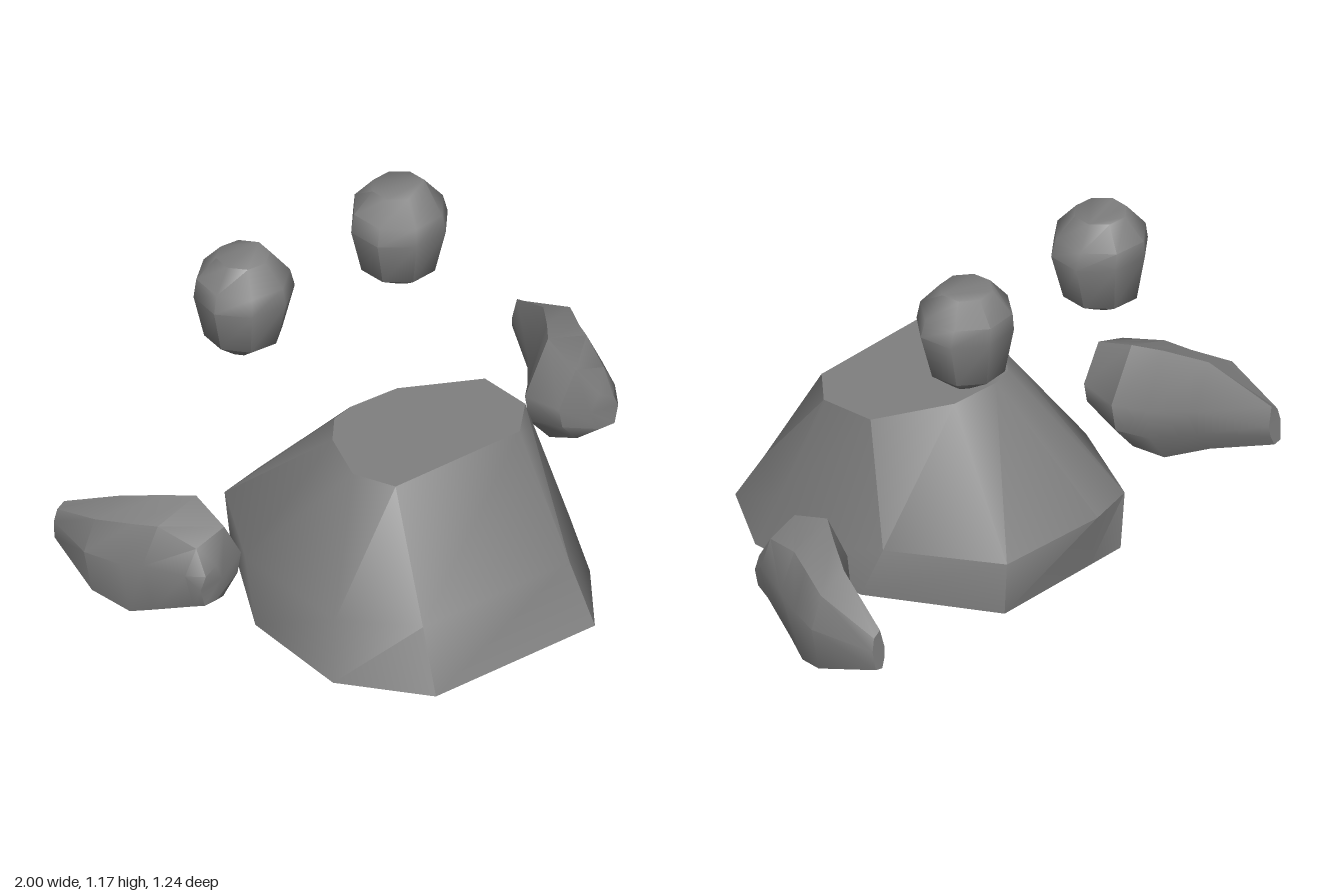
import * as THREE from 'three';
import { toCreasedNormals } from 'three/addons/utils/BufferGeometryUtils.js';

// Joins equal-sized rings of [x, y, z] points into a closed solid, capped at both ends.
function loft(rings, crease, flip = false) {
  const n = rings[0].length;
  const pos = rings.flat(2);
  const index = [];
  const tri = (a, b, c) => (flip ? index.push(a, c, b) : index.push(a, b, c));
  for (let r = 0; r < rings.length - 1; r++) {
    for (let i = 0; i < n; i++) {
      const a = r * n + i, b = r * n + (i + 1) % n;
      tri(a, b, b + n);
      tri(a, b + n, a + n);
    }
  }
  const last = (rings.length - 1) * n;
  for (let i = 1; i < n - 1; i++) {
    tri(0, i + 1, i);
    tri(last, last + i, last + i + 1);
  }
  const g = new THREE.BufferGeometry();
  g.setAttribute('position', new THREE.Float32BufferAttribute(pos, 3));
  g.setIndex(index);
  return toCreasedNormals(g, crease);
}

// Lower ring, shoulder ring and top ring of the body as [x, z], anticlockwise from above
const bodyRings = [
  [0.015, [[-0.4, 0.62], [0.24, 0.62], [0.42, 0.37], [0.42, -0.08], [0.2, -0.49],
    [-0.2, -0.49], [-0.34, -0.49], [-0.59, -0.05], [-0.59, 0.34]]],
  [0.2, [[-0.36, 0.505], [0.23, 0.505], [0.39, 0.305], [0.4, -0.155], [0.2, -0.5],
    [-0.2, -0.52], [-0.37, -0.48], [-0.55, -0.15], [-0.55, 0.3]]],
  [0.585, [[-0.29, 0.28], [0.21, 0.28], [0.32, 0.17], [0.31, -0.02], [0.06, -0.15],
    [-0.12, -0.16], [-0.2, -0.14], [-0.28, -0.05], [-0.35, 0.14]]],
];

// Floating eye levels: [y, centre x offset, centre z, radius x, radius z]
const eyeLevels = [
  [0.826, -0.01, -0.35, 0.04, 0.04],
  [0.885, 0, -0.355, 0.125, 0.125],
  [1.04, 0, -0.35, 0.165, 0.155],
  [1.1, 0, -0.355, 0.15, 0.15],
  [1.173, 0, -0.355, 0.088, 0.085],
];

// Hand sections along z: [z, inner x, outer x, bottom y, top y]
const handSections = [
  [-0.61, 0.895, 0.95, 0.19, 0.325],
  [-0.4, 0.785, 1.0, 0.11, 0.43],
  [-0.28, 0.69, 0.95, 0.065, 0.46],
  [-0.2, 0.615, 0.925, 0.1, 0.475],
  [-0.06, 0.64, 0.865, 0.17, 0.43],
  [-0.012, 0.74, 0.84, 0.2, 0.33],
];
// Cross-section outline within those limits
const handOutline = [[0, 0.52], [0.06, 0.25], [0.32, 0], [0.85, 0.04], [1, 0.53], [0.8, 0.86], [0.3, 1]];

export function createModel() {
  const model = new THREE.Group();
  const grey = new THREE.MeshStandardMaterial({ color: 0x808080 });
  grey.name = 'stone grey';
  const add = (name, geometry) => {
    const mesh = new THREE.Mesh(geometry, grey);
    mesh.name = name;
    model.add(mesh);
  };

  // Body, its left rear of the base dipping to the ground
  const body = bodyRings.map(([y, pts]) => pts.map(([x, z]) => [x, y, z]));
  body[0][8][1] = 0;
  add('body', loft(body, 0.8));

  // Eyes
  for (const [name, cx, turn, mirror] of [['rightEye', -0.395, 0.3, 1], ['leftEye', 0.23, -0.3, -1]]) {
    const rings = eyeLevels.map(([y, dx, cz, rx, rz]) => Array.from({ length: 8 }, (_, i) => {
      const a = (i / 8) * Math.PI * 2 + turn;
      return [cx + dx * mirror + rx * Math.cos(a), y, Math.max(-0.5, cz - rz * Math.sin(a))];
    }));
    add(name, loft(rings, 0.9));
  }

  // Hands, mirrored to either side
  for (const [name, side] of [['leftHand', 1], ['rightHand', -1]]) {
    const rings = handSections.map(([z, x0, x1, y0, y1]) =>
      handOutline.map(([u, v]) => [side * (x0 + u * (x1 - x0)), y0 + v * (y1 - y0), z]));
    // Slant the front and the tip
    rings[5].forEach((p) => { p[2] -= Math.max(0, 0.8 - Math.abs(p[0])) * 0.3; });
    rings[0].forEach((p) => { p[2] -= Math.max(0, 0.3 - p[1]) * 0.1; });
    add(name, loft(rings, 0.75, side < 0));
  }
  return model;
}
